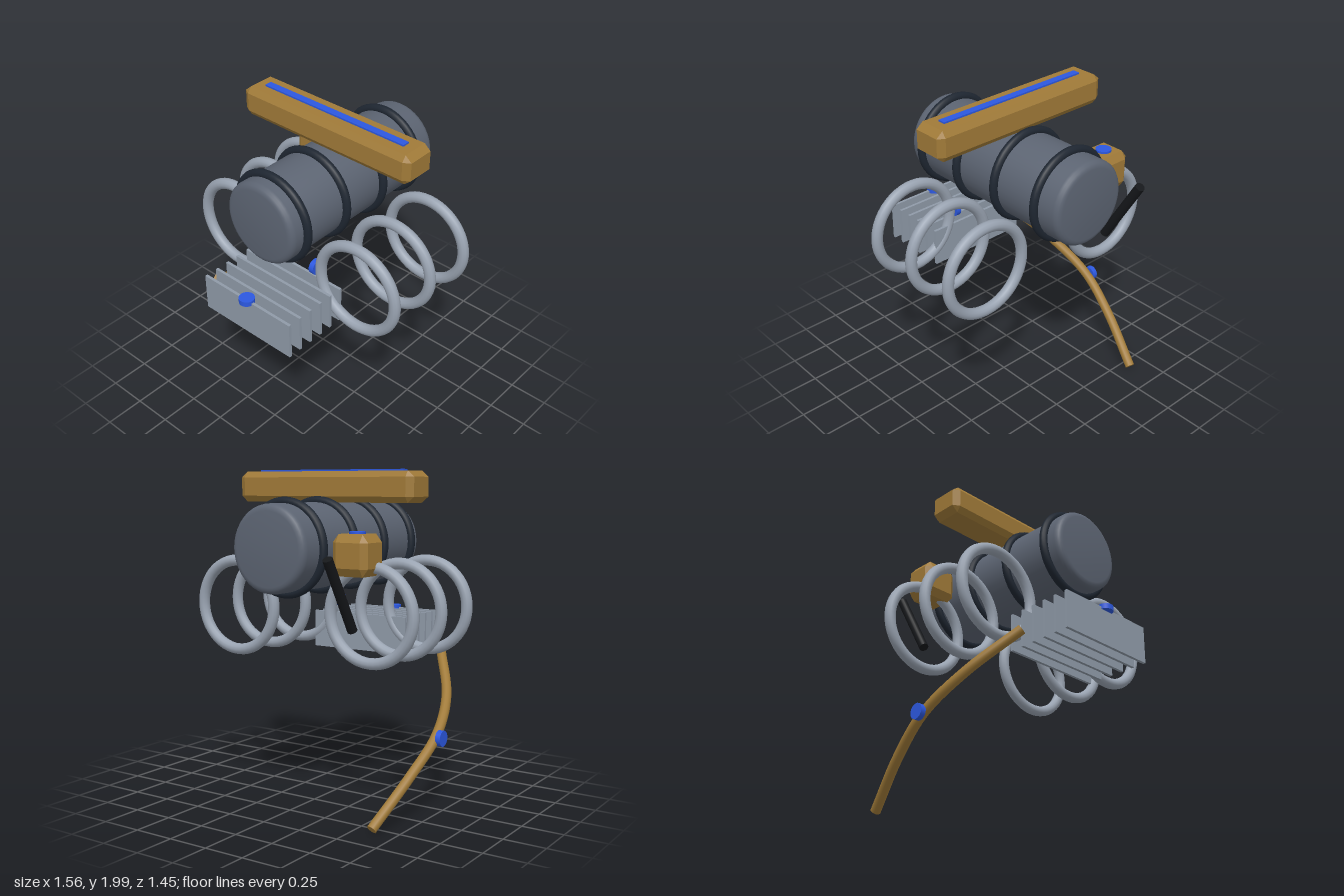
import * as THREE from 'three';
import { toCreasedNormals } from 'three/addons/utils/BufferGeometryUtils.js';
import { ConvexGeometry } from 'three/addons/geometries/ConvexGeometry.js';

const paint = (color) => new THREE.MeshStandardMaterial({ color });
const slate = paint(0x5c6472), dark = paint(0x1e2631), steel = paint(0x99a3b1);
const finGrey = paint(0x8f9aa8), ochre = paint(0xa07a38), blue = paint(0x2c58e0), black = paint(0x15171a);

// Box with all twelve edges cut flat; cut = chamfer inset along x, y and z
function chamferBox(w, h, d, cut) {
  const half = [w / 2, h / 2, d / 2];
  const points = [];
  for (const sx of [-1, 1]) for (const sy of [-1, 1]) for (const sz of [-1, 1]) {
    for (let face = 0; face < 3; face++) {
      const p = half.map((v, i) => (i === face ? v : v - cut[i]));
      points.push(new THREE.Vector3(sx * p[0], sy * p[1], sz * p[2]));
    }
  }
  return new ConvexGeometry(points);
}

export function createModel() {
  const model = new THREE.Group();
  model.name = 'model';

  function add(name, geometry, material, x = 0, y = 0, z = 0) {
    const mesh = new THREE.Mesh(geometry, material);
    mesh.name = name;
    mesh.position.set(x, y, z);
    model.add(mesh);
    return mesh;
  }

  // Tank: lathe with softly rounded rims, laid along z
  const r = 0.253, half = 0.629, round = 0.04;
  const rim = [0, 0.25, 0.5, 0.75, 1].map((t) => {
    const a = t * Math.PI / 2;
    return new THREE.Vector2(r - round + round * Math.sin(a), -half + round - round * Math.cos(a));
  });
  const profile = [new THREE.Vector2(0, -half), ...rim,
    ...rim.map((p) => new THREE.Vector2(p.x, -p.y)).reverse(), new THREE.Vector2(0, half)];
  const tank = add('tank', toCreasedNormals(new THREE.LatheGeometry(profile, 40), 0.5), slate, 0, 1.557, -0.069);
  tank.rotation.x = Math.PI / 2;

  // Bands around the tank
  for (const z of [0.444, 0.12, -0.203, -0.527])
    add('tankBand', new THREE.TorusGeometry(0.262, 0.026, 12, 48), dark, 0, 1.557, z);

  // Three hoops on each side
  for (const side of [-1, 1]) for (const z of [0.273, -0.049, -0.373])
    add('hoop', new THREE.TorusGeometry(0.272, 0.034, 12, 48), steel, side * 0.475, 1.187, z);

  // Row of cooling fins
  for (let i = 0; i < 6; i++)
    add('fin', new THREE.BoxGeometry(0.675, 0.234, 0.018), finGrey, 0, 0.983, 0.681 - i * 0.085);

  // Crossbeam on top with its inlaid strip
  add('crossbeam', chamferBox(1.232, 0.182, 0.218, [0.042, 0.035, 0.026]), ochre, -0.002, 1.899, -0.068);
  add('beamStrip', new THREE.BoxGeometry(1.025, 0.024, 0.046), blue, -0.002, 1.988, -0.068);

  // Side block with a slanted rod behind it
  add('sideBlock', chamferBox(0.23, 0.234, 0.202, [0.037, 0.046, 0.03]), ochre, -0.409, 1.526, -0.409);
  const top = new THREE.Vector3(-0.409, 1.52, -0.702), bottom = new THREE.Vector3(-0.409, 1.107, -0.458);
  const rod = add('rod', new THREE.CylinderGeometry(0.029, 0.029, top.distanceTo(bottom), 20), black);
  rod.position.copy(top).add(bottom).multiplyScalar(0.5);
  rod.quaternion.setFromUnitVectors(new THREE.Vector3(0, 1, 0), top.clone().sub(bottom).normalize());

  // Curved tail pipe with closed ends
  const path = new THREE.CatmullRomCurve3([
    [-0.473, 0.878, 0.472], [-0.65, 0.65, 0.215], [-0.72, 0.465, -0.04],
    [-0.69, 0.275, -0.29], [-0.613, 0.034, -0.575],
  ].map((p) => new THREE.Vector3(...p)));
  add('tailPipe', new THREE.TubeGeometry(path, 48, 0.03, 14), ochre);
  for (const end of [0, 1]) {
    const cap = add('tailPipeCap', new THREE.CircleGeometry(0.03, 14), ochre);
    cap.position.copy(path.getPoint(end));
    const outward = path.getTangent(end).multiplyScalar(end ? 1 : -1);
    cap.quaternion.setFromUnitVectors(new THREE.Vector3(0, 0, 1), outward);
  }

  // Round buttons: two facing up, two facing sideways
  const button = (x, y, z, sideways) => {
    const mesh = add('button', new THREE.CylinderGeometry(0.047, 0.047, 0.032, 28), blue, x, y, z);
    if (sideways) mesh.rotation.z = Math.PI / 2;
  };
  button(0, 1.101, 0.681, false);
  button(-0.409, 1.64, -0.409, false);
  button(0.164, 1.187, 0.273, true);
  button(-0.757, 0.457, -0.048, true);

  return model;
}
